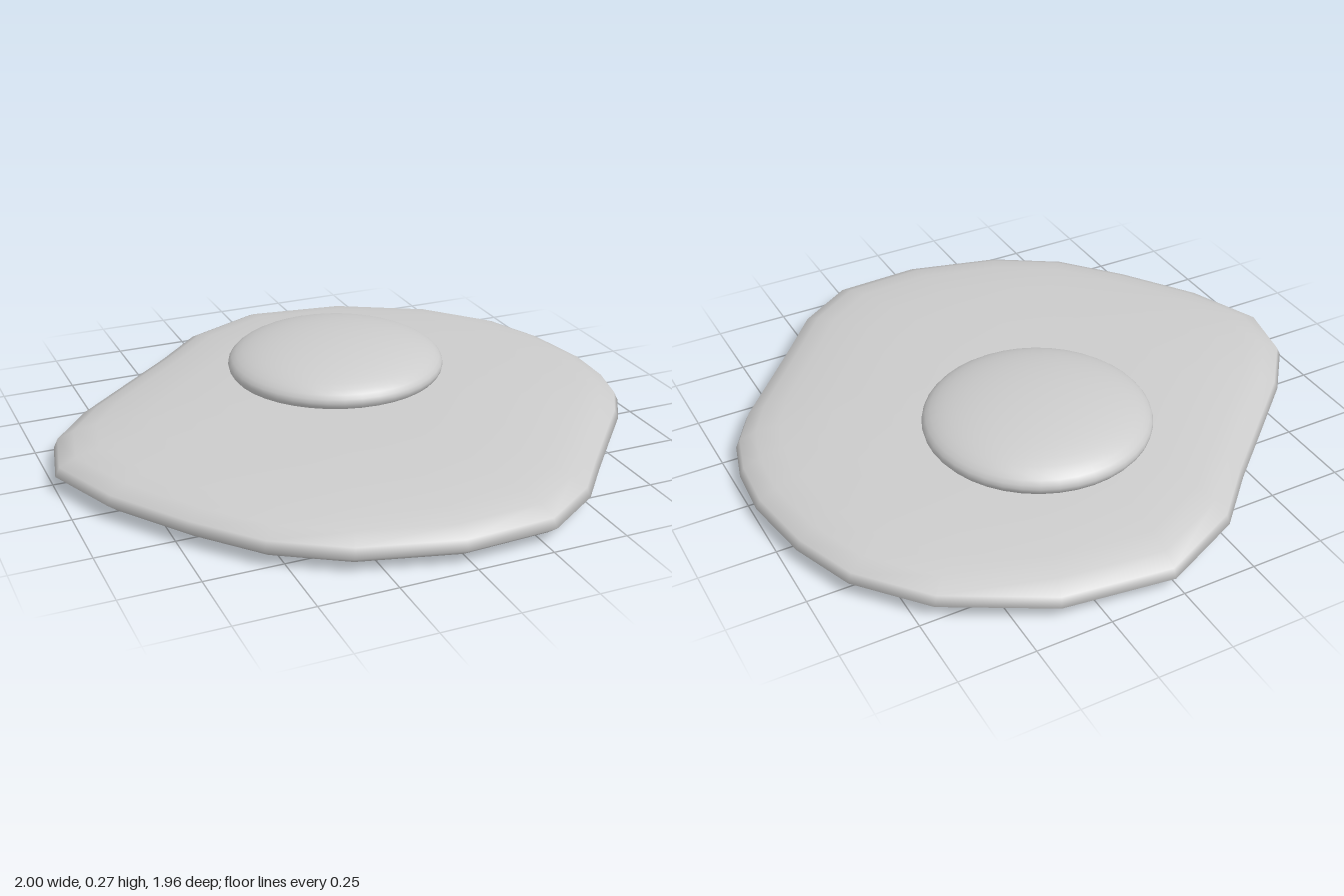
import * as THREE from 'three';
import { mergeVertices } from 'three/addons/utils/BufferGeometryUtils.js';

// Wavy rim of the egg white as x, z pairs, clockwise seen from above
const RIM = [
  [0.02, -0.98], [0.38, -0.93], [0.70, -0.75], [0.88, -0.54], [0.96, -0.33], [1.0, -0.09],
  [0.99, 0.09], [0.95, 0.24], [0.87, 0.37], [0.73, 0.53], [0.60, 0.68], [0.475, 0.83],
  [0.28, 0.96], [-0.02, 0.975], [-0.34, 0.89], [-0.56, 0.75], [-0.73, 0.55], [-0.90, 0.30],
  [-1.0, 0.05], [-0.955, -0.16], [-0.82, -0.33], [-0.62, -0.51], [-0.43, -0.68], [-0.26, -0.85],
];

// Cross-section from the underside centre, round the rim, to the top centre: scale, height
const PROFILE = [
  [0, 0], [0.6, 0.003], [0.88, 0.01], [0.965, 0.025], [1, 0.052], [0.985, 0.082],
  [0.93, 0.106], [0.85, 0.123], [0.67, 0.14], [0.4, 0.146], [0, 0.148],
];

function createWhiteGeometry() {
  const positions = [];
  const indices = [];
  const n = RIM.length;
  for (const [scale, y] of PROFILE) {
    for (const [x, z] of RIM) positions.push(x * scale, y, z * scale);
  }
  for (let j = 0; j < PROFILE.length - 1; j++) {
    for (let i = 0; i < n; i++) {
      const next = (i + 1) % n;
      const a = j * n + i;
      const c = j * n + next;
      // The first and last rings are single points, so they need one triangle per step
      if (j > 0) indices.push(a, a + n, c);
      if (j < PROFILE.length - 2) indices.push(a + n, c + n, c);
    }
  }
  const geometry = new THREE.BufferGeometry();
  geometry.setAttribute('position', new THREE.Float32BufferAttribute(positions, 3));
  geometry.setIndex(indices);
  const merged = mergeVertices(geometry);
  merged.computeVertexNormals();
  return merged;
}

export function createModel() {
  const group = new THREE.Group();
  group.name = 'friedEgg';
  const material = new THREE.MeshStandardMaterial({ color: 0xcccccc });

  // Thin spread-out white
  const white = new THREE.Mesh(createWhiteGeometry(), material);
  white.name = 'eggWhite';
  group.add(white);

  // Flattened dome sitting off-centre on the white
  const yolk = new THREE.Mesh(new THREE.SphereGeometry(1, 40, 24), material);
  yolk.name = 'yolk';
  yolk.scale.set(0.377, 0.1, 0.377);
  yolk.position.set(0.072, 0.17, -0.22);
  group.add(yolk);

  return group;
}
